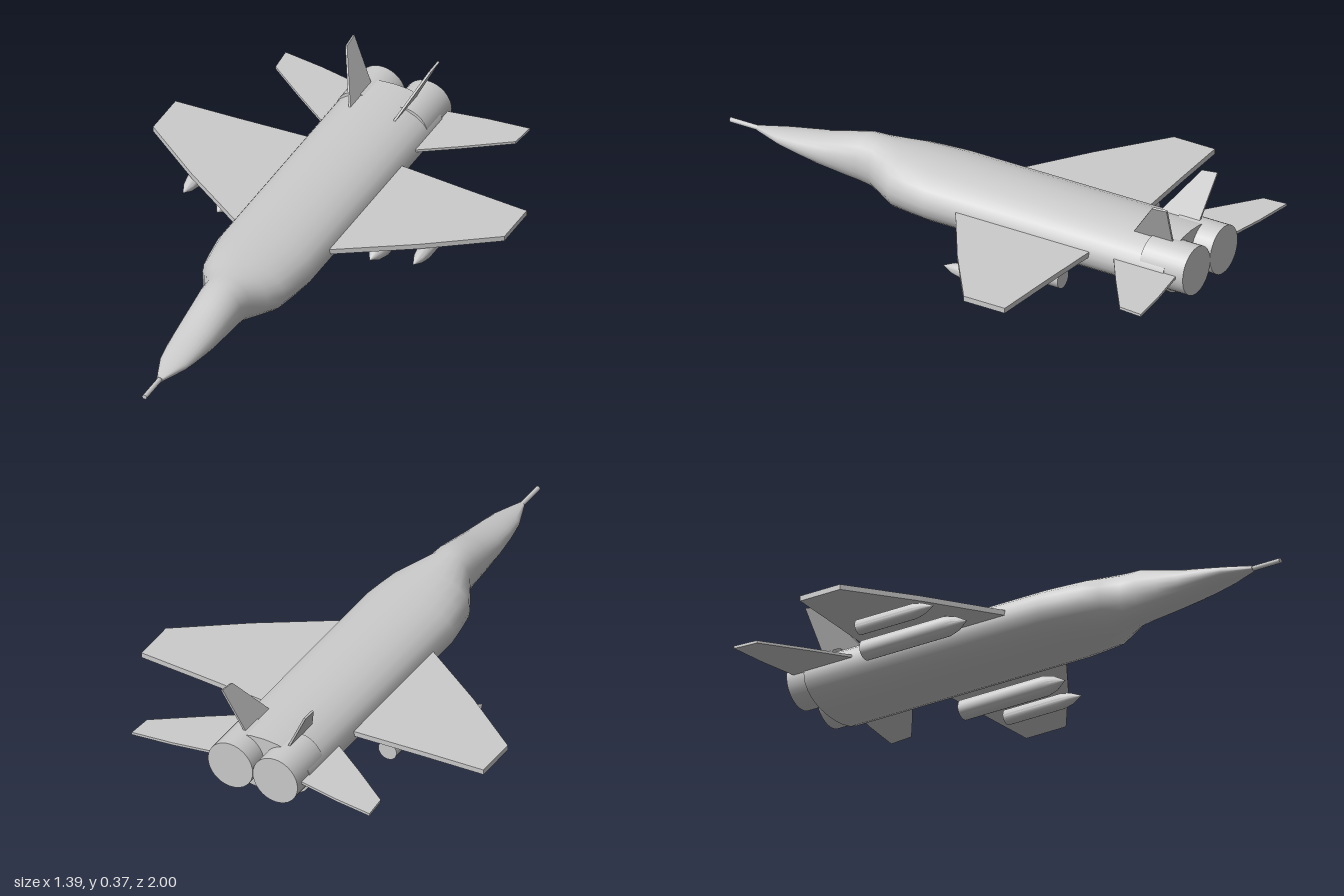
import * as THREE from 'three';
import { toCreasedNormals } from 'three/addons/utils/BufferGeometryUtils.js';

const grey = new THREE.MeshStandardMaterial({ color: 0xcccccc });

function part(name, geometry) {
  const mesh = new THREE.Mesh(geometry, grey);
  mesh.name = name;
  return mesh;
}

// Lofts rings [z, halfWidth, bottom, top] from nose to tail.
function loft(sections, sides = 24) {
  const positions = [], index = [];
  sections.forEach(([z, w, bottom, top]) => {
    for (let j = 0; j < sides; j++) {
      const a = (j / sides) * Math.PI * 2;
      const c = Math.cos(a), s = Math.sin(a);
      const x = Math.sign(c) * Math.abs(c) ** 0.95;
      const y = Math.sign(s) * Math.abs(s) ** 0.95;
      positions.push(x * w, (bottom + top) / 2 + (y * (top - bottom)) / 2, z);
    }
  });
  for (let i = 0; i < sections.length - 1; i++) {
    for (let j = 0; j < sides; j++) {
      const k = (j + 1) % sides;
      const a = i * sides + j, b = i * sides + k;
      index.push(a, a + sides, b, b, a + sides, b + sides);
    }
  }
  const g = new THREE.BufferGeometry();
  g.setAttribute('position', new THREE.Float32BufferAttribute(positions, 3));
  g.setIndex(index);
  return toCreasedNormals(g, 0.75);
}

// Flat plate from an outline of [x, z] points, mirrored by side.
function plate(points, side, y, thickness) {
  const shape = new THREE.Shape(points.map(([x, z]) => new THREE.Vector2(x * side, -z)));
  const g = new THREE.ExtrudeGeometry(shape, { depth: thickness, bevelEnabled: false });
  return g.rotateX(-Math.PI / 2).translate(0, y - thickness / 2, 0);
}

// Upright fin from an outline of [z, height] points, leaning outward.
function fin(side) {
  const outline = [[-0.715, -0.02], [-0.735, 0.012], [-0.85, 0.178], [-0.912, 0.185], [-0.888, 0.01], [-0.885, -0.02]];
  const shape = new THREE.Shape(outline.map(([z, v]) => new THREE.Vector2(z, v)));
  const g = new THREE.ExtrudeGeometry(shape, { depth: 0.008, bevelEnabled: false });
  g.translate(0, 0, -0.004).rotateY(-Math.PI / 2).rotateZ(-side * 0.45);
  return g.translate(side * 0.088, 0.208, 0);
}

// Pointed round store hanging under the wing, nose toward +z.
function store(radius, nose, tail) {
  const length = nose - tail;
  const profile = [[0, 0], [radius, 0], [radius, length - 0.085], [radius * 0.72, length - 0.045], [0, length]];
  const g = new THREE.LatheGeometry(profile.map(([r, h]) => new THREE.Vector2(r, h)), 20);
  return toCreasedNormals(g.rotateX(Math.PI / 2).translate(0, 0, tail), 0.5);
}

export function createModel() {
  const jet = new THREE.Group();
  jet.name = 'jet';

  // Body with nose, cockpit hump, intake shoulders and closed tail
  jet.add(part('fuselage', loft([
    [0.885, 0, 0.114, 0.116],
    [0.885, 0.012, 0.105, 0.125],
    [0.78, 0.053, 0.092, 0.141],
    [0.7, 0.066, 0.077, 0.157],
    [0.61, 0.076, 0.062, 0.175],
    [0.52, 0.081, 0.05, 0.2],
    [0.43, 0.086, 0.04, 0.224],
    [0.375, 0.092, 0.033, 0.225],
    [0.31, 0.128, 0.018, 0.223],
    [0.25, 0.162, 0.005, 0.222],
    [0.17, 0.177, 0.004, 0.221],
    [0.09, 0.189, 0.004, 0.22],
    [-0.907, 0.189, 0.004, 0.22],
    [-0.907, 0, 0.111, 0.113],
  ])));

  // Nose probe
  const probe = part('noseProbe', new THREE.CylinderGeometry(0.009, 0.009, 0.15, 12).rotateX(Math.PI / 2));
  probe.position.set(0, 0.115, 0.925);
  jet.add(probe);

  const wing = [[0.1, -0.005], [0.19, -0.05], [0.45, -0.22], [0.695, -0.4], [0.695, -0.57], [0.45, -0.583], [0.19, -0.6], [0.1, -0.605]];
  const tail = [[0.12, -0.66], [0.19, -0.705], [0.32, -0.795], [0.475, -0.908], [0.483, -1], [0.33, -0.982], [0.18, -0.955], [0.12, -0.945]];

  for (const side of [1, -1]) {
    const label = side > 0 ? 'left' : 'right';
    jet.add(part(label + 'Wing', plate(wing, side, 0.12, 0.02)));
    jet.add(part(label + 'Tailplane', plate(tail, side, 0.127, 0.01)));
    jet.add(part(label + 'Fin', fin(side)));

    // Engine nozzle
    const nozzle = part(label + 'Nozzle', new THREE.CylinderGeometry(0.091, 0.091, 0.18, 32).rotateX(Math.PI / 2));
    nozzle.position.set(side * 0.091, 0.123, -0.895);
    jet.add(nozzle);

    // Underwing stores
    const inner = part(label + 'InnerStore', store(0.037, -0.13, -0.565));
    inner.position.set(side * 0.302, 0.068, 0);
    const outer = part(label + 'OuterStore', store(0.028, -0.165, -0.485));
    outer.position.set(side * 0.455, 0.077, 0);
    jet.add(inner, outer);
  }

  jet.position.x = -0.004;
  const group = new THREE.Group();
  group.name = 'aircraft';
  group.add(jet);
  return group;
}
